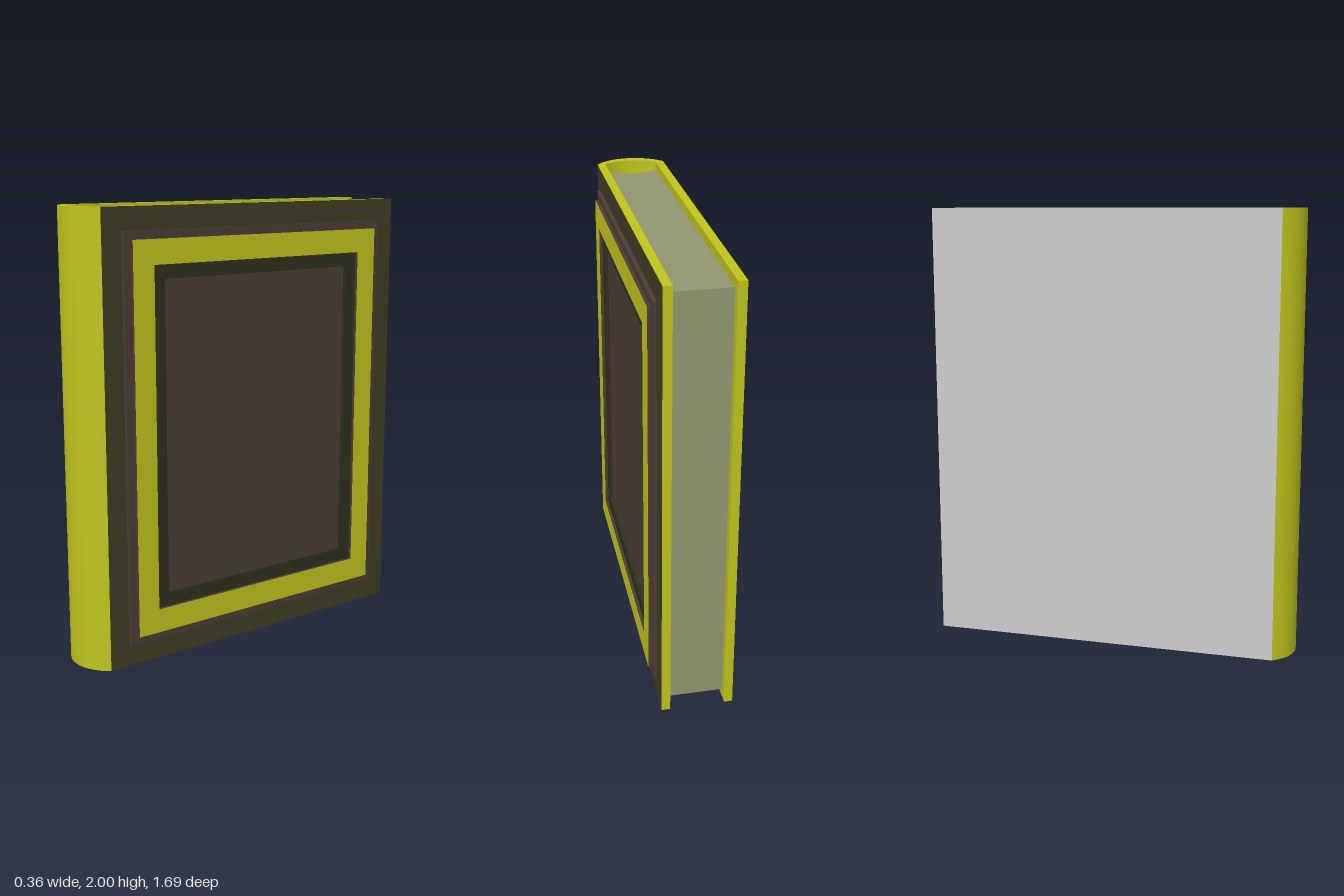
import * as THREE from 'three';
import { toCreasedNormals } from 'three/addons/utils/BufferGeometryUtils.js';

const mat = (color) => new THREE.MeshStandardMaterial({ color });
const yellow = mat(0xc0c41c), olive = mat(0x403c24), brown = mat(0x4a3d34);
const dark = mat(0x30301e), paper = mat(0x929670), grey = mat(0xcccccc);

const CX = -0.017;          // middle of the book's thickness
const OUT = 0.16, IN = 0.122; // half thickness outside and inside the covers
const BACK = -0.845, HINGE = 0.76, PAGE_BACK = -0.805;

// Points on a circular arc from x = -half to x = +half, bulging by sag
function arc(half, sag, z, steps = 32) {
  const s = Math.abs(sag), r = (half * half + s * s) / (2 * s), a = Math.asin(half / r);
  return Array.from({ length: steps + 1 }, (_, i) => {
    const t = -a + (2 * a * i) / steps;
    return new THREE.Vector2(CX + r * Math.sin(t), z + Math.sign(sag) * (r * Math.cos(t) - r + s));
  });
}

// Extrudes an outline drawn in (x, z) upwards from y0 to y1
function upright(points, y0, y1) {
  const g = new THREE.ExtrudeGeometry(new THREE.Shape(points), { depth: y1 - y0, bevelEnabled: false });
  g.rotateX(Math.PI / 2).translate(0, y1, 0);
  return toCreasedNormals(g, 0.4);
}

// Rectangle in the plane of the cover, given half width and half height
function rect(Type, w, h) {
  const p = new Type();
  p.moveTo(-w, -h).lineTo(w, -h).lineTo(w, h).lineTo(-w, h).closePath();
  return p;
}

// Rectangular frame lying on the +x cover, from x0 to x1
function frame(w, h, holeW, holeH, x0, x1) {
  const s = rect(THREE.Shape, w, h);
  s.holes.push(rect(THREE.Path, holeW, holeH));
  const g = new THREE.ExtrudeGeometry(s, { depth: x1 - x0, bevelEnabled: false });
  return g.rotateY(Math.PI / 2).translate(x0, 1, -0.039);
}

export function createModel() {
  const book = new THREE.Group();
  book.name = 'book';
  const add = (name, geometry, material) => {
    const m = new THREE.Mesh(geometry, material);
    m.name = name;
    book.add(m);
    return m;
  };
  const v = (x, z) => new THREE.Vector2(CX + x, z);

  // Binding: two boards joined by a rounded spine
  add('binding', upright([
    v(-OUT, BACK), ...arc(OUT, 0.083, HINGE), v(OUT, BACK),
    v(IN, BACK), ...arc(IN, 0.042, HINGE).reverse(), v(-IN, BACK),
  ], 0, 2), yellow);

  // Page block with a hollow edge behind the spine
  add('pages', upright([
    v(-IN, PAGE_BACK), ...arc(IN, -0.04, HINGE), v(IN, PAGE_BACK),
  ], 0.04, 1.96), paper);

  // Cover sheets on the outer faces of both boards
  const sheet = (name, side, material) => {
    const m = add(name, new THREE.PlaneGeometry(HINGE - BACK, 2), material);
    m.rotation.y = side * Math.PI / 2;
    m.position.set(CX + side * (OUT + 0.001), 1, (HINGE + BACK) / 2);
  };
  sheet('frontCoverSheet', 1, olive);
  sheet('backCoverSheet', -1, grey);

  // Stepped frames and sunken panel on the front cover
  const x0 = CX + OUT, x1 = x0 + 0.018, x2 = x1 + 0.016;
  add('outerFrame', frame(0.705, 0.9, 0.6, 0.79, x0, x1), brown);
  add('raisedFrameEdge', frame(0.67, 0.865, 0.567, 0.758, x1 - 0.002, x2 - 0.001), brown);
  add('raisedFrameFace', frame(0.67, 0.865, 0.567, 0.758, x2 - 0.001, x2), yellow);
  add('innerFrame', frame(0.6, 0.79, 0.505, 0.695, x0, x1), dark);
  const panel = add('centrePanel', new THREE.PlaneGeometry(1.01, 1.39), brown);
  panel.rotation.y = Math.PI / 2;
  panel.position.set(x0 + 0.003, 1, -0.039);

  return book;
}
